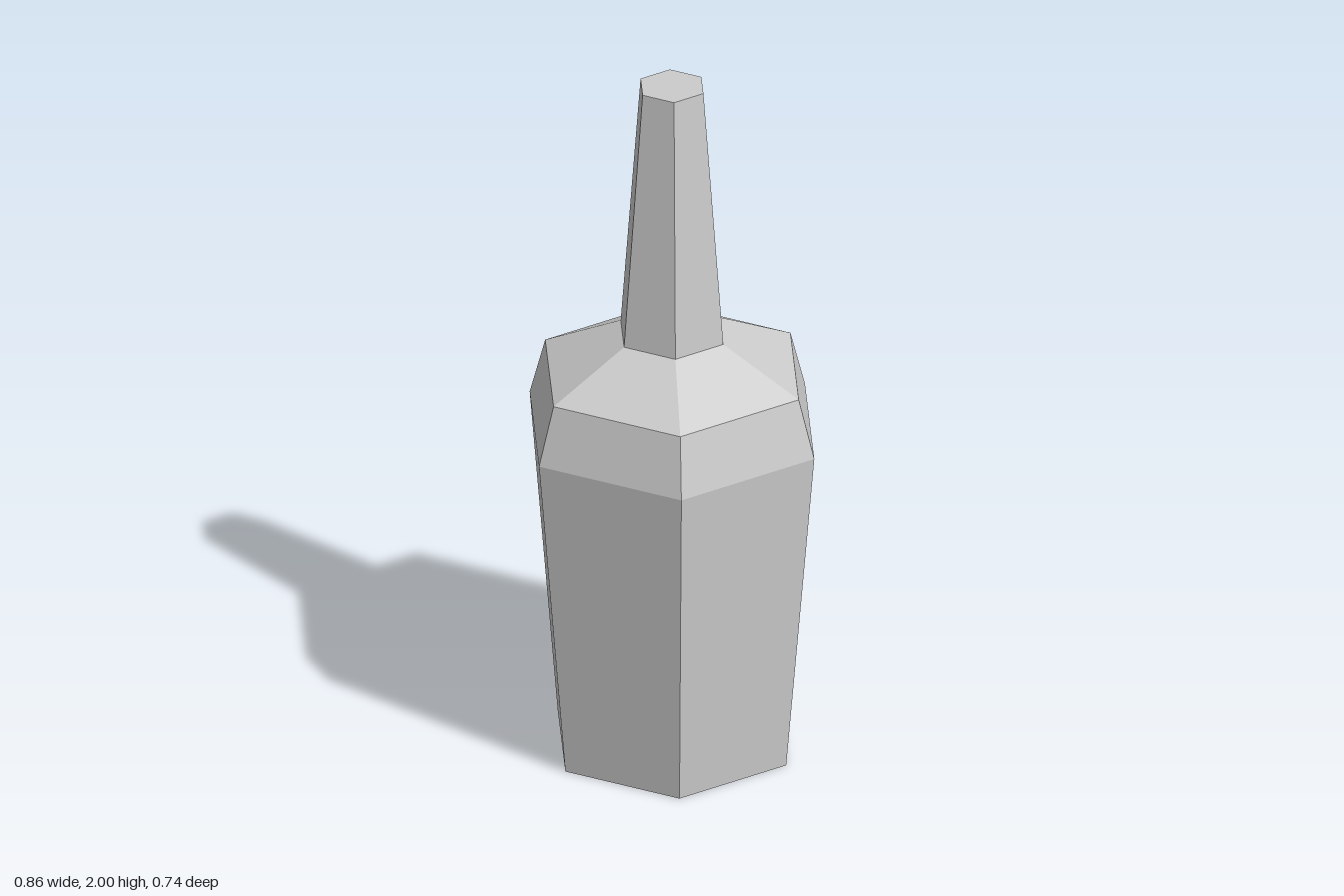
import * as THREE from 'three';

const material = new THREE.MeshStandardMaterial({ color: 0xcccccc, flatShading: true });

// Six-sided ring of faces turned from a [radius, height] profile, corners on the x axis
function hexPart(name, profile) {
  const points = profile.map(([r, y]) => new THREE.Vector2(r, y));
  const mesh = new THREE.Mesh(new THREE.LatheGeometry(points, 6, Math.PI / 2), material);
  mesh.name = name;
  return mesh;
}

export function createModel() {
  const bottle = new THREE.Group();
  bottle.name = 'bottle';
  bottle.add(
    // closed base and flaring body
    hexPart('body', [[0, 0], [0.345, 0], [0.43, 0.96]]),
    // bevel, then slope in to the neck
    hexPart('shoulder', [[0.43, 0.96], [0.383, 1.13], [0.155, 1.245]]),
    // tapered neck with closed top
    hexPart('neck', [[0.155, 1.245], [0.095, 2], [0, 2]]),
  );
  return bottle;
}
